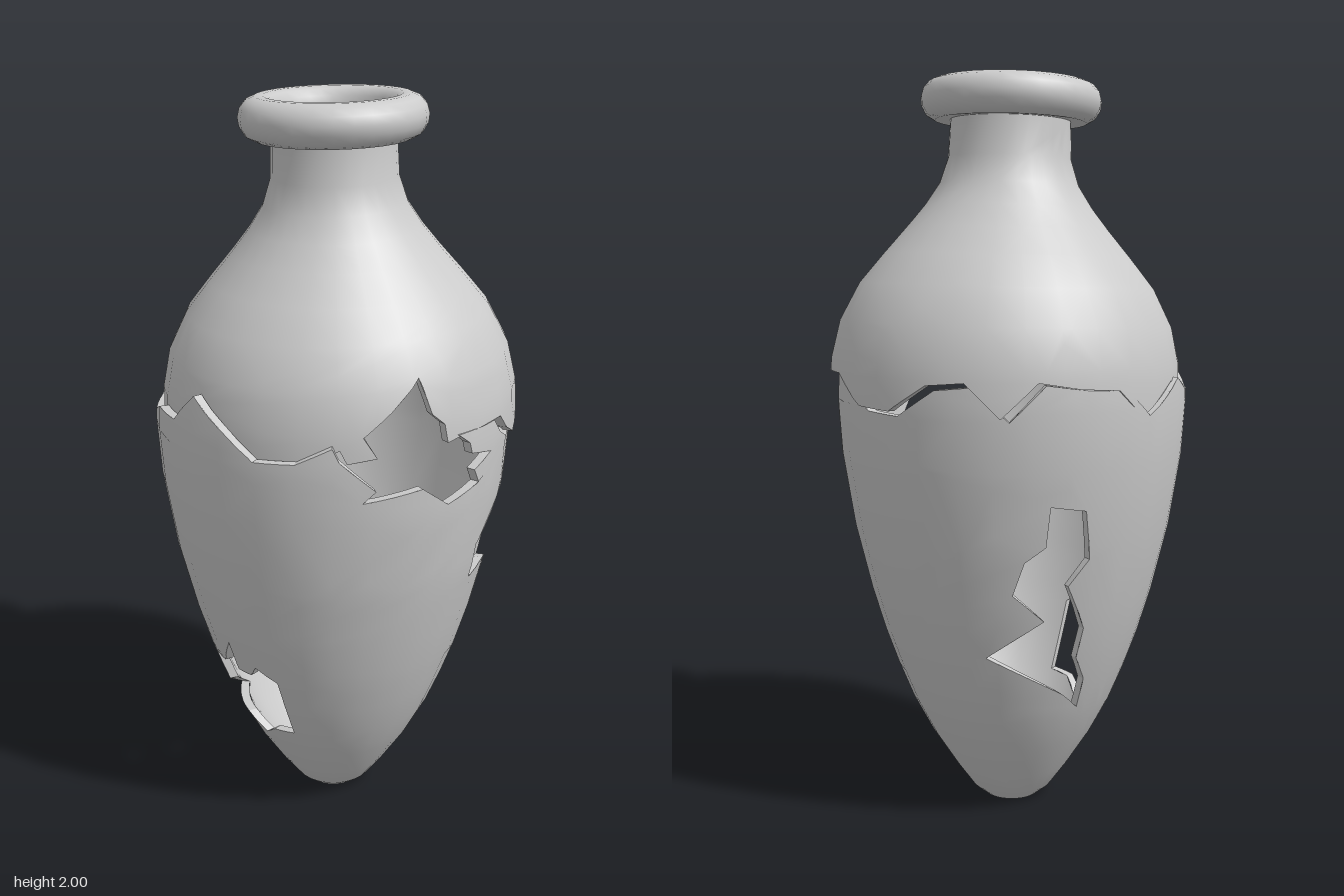
import * as THREE from 'three';

const WALL = 0.025, NECK_Y = 1.89, SEAM = -66, STEP = 12;

// Outer profile of the vase: [y, radius]
const PROFILE = [
  [0, 0.075], [0.03, 0.112], [0.1, 0.163], [0.2, 0.228], [0.3, 0.281], [0.4, 0.322], [0.5, 0.358],
  [0.62, 0.394], [0.8, 0.438], [1, 0.47], [1.15, 0.48], [1.25, 0.475], [1.35, 0.453], [1.45, 0.402],
  [1.53, 0.337], [1.6, 0.277], [1.66, 0.229], [1.72, 0.19], [1.79, 0.167], [NECK_Y, 0.163],
];

// Everything below is drawn on the unrolled wall: [angle in degrees from the front, y]
const crackLeft = [[-66, 1.215], [-56, 1.178], [-43, 1.172], [-30, 1.215], [-16, 1.215], [-6, 1.295],
  [6, 1.237], [18, 1.167], [31, 1.172], [42, 1.215], [44, 1.18]];
const crackRight = [[83, 1.21], [102, 1.21], [107, 1.165], [115, 1.13], [123, 1.18], [128, 1.215],
  [163, 1.215], [178, 1.14], [191, 1.135], [204, 1.205], [216, 1.215], [227, 1.13], [238, 1.22],
  [251, 1.205], [265, 1.2], [275, 1.13], [294, 1.215]];
// Missing shard on the crack: its edge in the lower part and in the upper part
const chipBelow = [[55, 1.1], [51, 1.07], [70, 1.09], [80, 1.03], [94, 1.06], [91, 1.1], [100, 1.13],
  [89, 1.15], [88, 1.18]];
const chipAbove = [[53, 1.19], [49, 1.245], [58, 1.3], [68, 1.37], [71, 1.28], [75, 1.25], [76, 1.2]];

const frontHole = [[-6, 0.575], [-5, 0.485], [3, 0.485], [7, 0.52], [17, 0.485], [19, 0.29], [5, 0.28],
  [-7, 0.24], [-22, 0.28], [-55, 0.29], [-28, 0.38], [-29, 0.48], [-16, 0.485]];
const longHole = [[100, 0.76], [100, 0.86], [114, 0.96], [126, 0.99], [125, 1.1], [128, 1.16], [133, 1.11],
  [147, 1.125], [138, 0.87], [139, 0.79], [138, 0.72], [136, 0.48], [126, 0.6], [120, 0.62],
  [118, 0.77], [112, 0.78]];
const sideHole = [[240, 0.915], [252, 0.9], [255, 0.77], [248, 0.7], [257, 0.575], [256, 0.49], [263, 0.42],
  [264, 0.33], [253, 0.38], [217, 0.5], [240, 0.605], [228, 0.68], [232, 0.77], [239, 0.81]];

function radius(y) {
  let i = 1;
  while (i < PROFILE.length - 1 && PROFILE[i][0] < y) i++;
  const [y0, r0] = PROFILE[i - 1], [y1, r1] = PROFILE[i];
  return r0 + (r1 - r0) * (y - y0) / (y1 - y0);
}

// Roll a flat point onto the outer or inner face of the wall
function roll([deg, y], inner) {
  const a = THREE.MathUtils.degToRad(deg);
  const h = inner ? Math.max(y, 0.03) : y;
  const r = radius(h) - (inner ? WALL : 0);
  return [r * Math.sin(a), h, r * Math.cos(a)];
}

function normalAt([deg, y], inner) {
  const a = THREE.MathUtils.degToRad(deg);
  const lo = Math.max(0, y - 0.04), hi = Math.min(NECK_Y, y + 0.04);
  const slope = (radius(hi) - radius(lo)) / (hi - lo);
  return new THREE.Vector3(Math.sin(a), -slope, Math.cos(a))
    .normalize().multiplyScalar(inner ? -1 : 1).toArray();
}

// Cut a convex polygon in two along coordinate[axis] = c
function split(poly, axis, c) {
  const low = [], high = [];
  poly.forEach((p, i) => {
    const q = poly[(i + 1) % poly.length];
    const dp = p[axis] - c, dq = q[axis] - c;
    if (dp <= 1e-9) low.push(p);
    if (dp >= -1e-9) high.push(p);
    if ((dp < -1e-9 && dq > 1e-9) || (dp > 1e-9 && dq < -1e-9)) {
      const t = dp / (dp - dq);
      const m = [p[0] + (q[0] - p[0]) * t, p[1] + (q[1] - p[1]) * t];
      m[axis] = c;
      low.push(m);
      high.push(m);
    }
  });
  return [low, high].filter((s) => s.length > 2);
}

const area = (a, b, c) => (b[0] - a[0]) * (c[1] - a[1]) - (b[1] - a[1]) * (c[0] - a[0]);

function makeGeometry(pos, nor) {
  const g = new THREE.BufferGeometry();
  g.setAttribute('position', new THREE.Float32BufferAttribute(pos, 3));
  if (nor) g.setAttribute('normal', new THREE.Float32BufferAttribute(nor, 3));
  else g.computeVertexNormals();
  return g;
}

// Outer and inner faces of a wall piece with holes
function shellGeometry(outline, holes) {
  const vec = (list) => list.map(([x, y]) => new THREE.Vector2(x, y));
  const all = [outline, ...holes].flat();
  let polys = THREE.ShapeUtils.triangulateShape(vec(outline), holes.map(vec)).map((f) => f.map((i) => all[i]));
  for (let a = SEAM + STEP; a < SEAM + 360; a += STEP) polys = polys.flatMap((p) => split(p, 0, a));
  for (const [y] of PROFILE) polys = polys.flatMap((p) => split(p, 1, y));
  const pos = [], nor = [];
  for (const p of polys) {
    for (let i = 1; i < p.length - 1; i++) {
      const s = area(p[0], p[i], p[i + 1]);
      if (Math.abs(s) < 1e-8) continue;
      const tri = s > 0 ? [p[0], p[i], p[i + 1]] : [p[0], p[i + 1], p[i]];
      for (const v of tri) { pos.push(...roll(v)); nor.push(...normalAt(v)); }
      for (const v of tri.reverse()) { pos.push(...roll(v, true)); nor.push(...normalAt(v, true)); }
    }
  }
  return makeGeometry(pos, nor);
}

// Broken edge: a strip across the wall thickness along a path
function edgeGeometry(paths) {
  const pos = [];
  for (const path of paths) {
    for (let i = 0; i < path.length - 1; i++) {
      const [p, q] = [path[i], path[i + 1]];
      const n = Math.ceil(Math.max(Math.abs(q[0] - p[0]) / 6, Math.abs(q[1] - p[1]) / 0.08));
      const at = (t) => [p[0] + (q[0] - p[0]) * t, p[1] + (q[1] - p[1]) * t];
      for (let k = 0; k < n; k++) {
        const a = at(k / n), b = at((k + 1) / n);
        const [ao, bo, bi, ai] = [roll(a), roll(b), roll(b, true), roll(a, true)];
        pos.push(...ao, ...bo, ...bi, ...ao, ...bi, ...ai);
      }
    }
  }
  return makeGeometry(pos);
}

export function createModel() {
  const smooth = new THREE.MeshStandardMaterial({ color: 0xcccccc });
  const broken = new THREE.MeshStandardMaterial({ color: 0xcccccc, flatShading: true, side: THREE.DoubleSide });
  const add = (parent, name, geometry, material = smooth) => {
    const mesh = new THREE.Mesh(geometry, material);
    mesh.name = name;
    parent.add(mesh);
    return mesh;
  };
  const model = new THREE.Group();
  model.name = 'brokenVase';

  // Lower body with three holes
  const lower = new THREE.Group();
  lower.name = 'lowerBody';
  lower.position.z = 0.012;
  const lowerRim = [...crackLeft, ...chipBelow, ...crackRight];
  const holes = [frontHole, longHole, sideHole];
  add(lower, 'lowerWall', shellGeometry([[SEAM, 0], [SEAM + 360, 0], ...[...lowerRim].reverse()], holes));
  add(lower, 'lowerBrokenEdges', edgeGeometry([lowerRim, ...holes.map((h) => [...h, h[0]])]), broken);
  const phase = THREE.MathUtils.degToRad(SEAM);
  const base = add(lower, 'base', new THREE.CircleGeometry(radius(0), 30));
  base.rotation.x = Math.PI / 2;
  const floor = add(lower, 'innerFloor', new THREE.CircleGeometry(radius(0.03) - WALL, 30));
  floor.rotation.x = -Math.PI / 2;
  floor.position.y = 0.03;

  // Upper body, slipped back and tipped slightly forward
  const upper = new THREE.Group();
  upper.name = 'upperBody';
  upper.rotation.x = 0.033;
  upper.position.z = -0.055;
  const upperRim = [...crackLeft, ...chipAbove, ...crackRight];
  add(upper, 'upperWall', shellGeometry([...upperRim, [SEAM + 360, NECK_Y], [SEAM, NECK_Y]], []));
  add(upper, 'upperBrokenEdge', edgeGeometry([upperRim]), broken);

  // Rolled lip
  const lip = [[0.163, 1.89], [0.205, 1.887], [0.228, 1.9], [0.241, 1.922], [0.244, 1.945], [0.238, 1.968],
    [0.222, 1.986], [0.2, 1.995], [0.178, 1.995], [0.162, 1.988], [0.15, 1.972], [0.143, 1.945], [0.138, 1.89]];
  add(upper, 'lip', new THREE.LatheGeometry(lip.map(([r, y]) => new THREE.Vector2(r, y)), 30, phase));

  model.add(lower, upper);
  return model;
}
